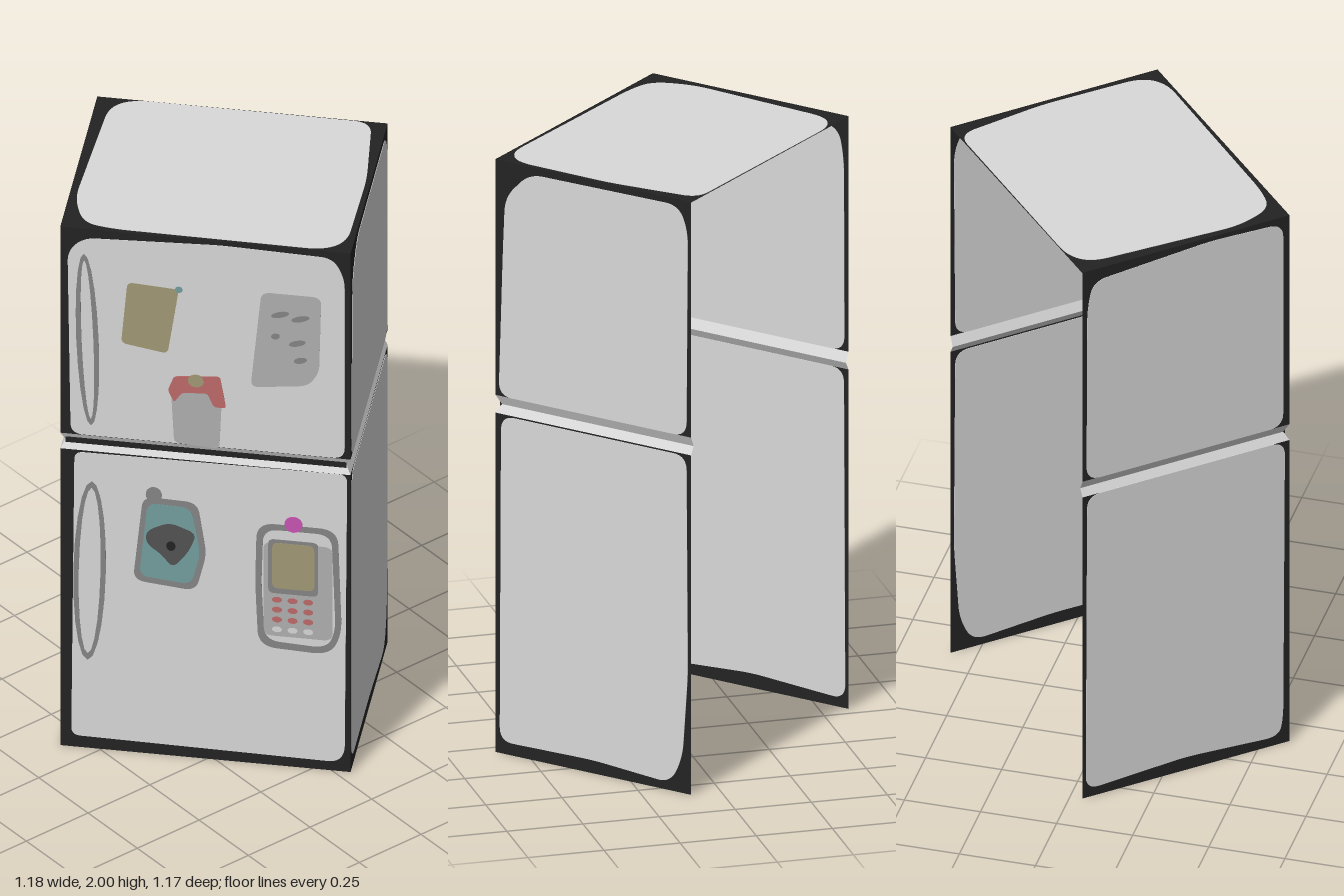
import * as THREE from 'three';

const HW = 0.4655, HD = 0.3665; // half width and half depth of the cabinet

function material(name, color) {
  const m = new THREE.MeshStandardMaterial({ color, side: THREE.DoubleSide });
  m.name = name;
  return m;
}

// polygon with its corners rounded by up to radius r
function rounded(points, r) {
  const p = points.map(([x, y]) => new THREE.Vector2(x, y));
  const n = p.length, shape = new THREE.Shape();
  const toward = (a, b) => a.clone().lerp(b, Math.min(0.5, r / a.distanceTo(b)));
  p.forEach((c, i) => {
    const a = toward(c, p[(i + n - 1) % n]), b = toward(c, p[(i + 1) % n]);
    if (i === 0) shape.moveTo(a.x, a.y); else shape.lineTo(a.x, a.y);
    shape.quadraticCurveTo(c.x, c.y, b.x, b.y);
  });
  shape.closePath();
  return shape;
}

const rect = (x0, y0, x1, y1) => [[x0, y0], [x1, y0], [x1, y1], [x0, y1]];

function oval(rx, ry) {
  const s = new THREE.Shape();
  s.absellipse(0, 0, rx, ry, 0, Math.PI * 2);
  return s;
}

// thin plate straddling its wall, so it shows from inside and outside
function plate(name, mat, shape, layer) {
  const t = 0.003 + layer * 0.0015;
  const g = new THREE.ExtrudeGeometry(shape, { depth: t, bevelEnabled: false, curveSegments: 10 });
  g.translate(0, 0, -t / 2);
  const mesh = new THREE.Mesh(g, mat);
  mesh.name = name;
  return mesh;
}

// left, front and right wall between two heights with their insets
function wallStrip(name, mat, y0, o0, y1, o1) {
  const ring = (y, o) => [[-HW + o, y, -HD], [-HW + o, y, HD - o], [HW - o, y, HD - o], [HW - o, y, -HD]];
  const lo = ring(y0, o0), hi = ring(y1, o1), pos = [];
  for (let i = 0; i < 3; i++) {
    pos.push(...lo[i], ...lo[i + 1], ...hi[i + 1], ...lo[i], ...hi[i + 1], ...hi[i]);
  }
  const g = new THREE.BufferGeometry();
  g.setAttribute('position', new THREE.Float32BufferAttribute(pos, 3));
  g.computeVertexNormals();
  const mesh = new THREE.Mesh(g, mat);
  mesh.name = name;
  return mesh;
}

export function createModel() {
  const casing = material('casing grey', 0xd9d9d9);
  const edge = material('edge black', 0x232323);
  const line = material('outline grey', 0x868686);
  const paper = material('paper grey', 0xb0b0b0);
  const olive = material('olive', 0xa39a76);
  const teal = material('teal', 0x74a0a0);
  const red = material('red', 0xc06a6a);
  const magenta = material('magenta', 0xc955b4);
  const charcoal = material('charcoal', 0x545454);

  const root = new THREE.Group();
  root.name = 'refrigerator';

  // open shell with a V groove between the two compartments
  root.add(
    wallStrip('lowerWalls', edge, 0, 0, 1.145, 0),
    wallStrip('grooveLower', casing, 1.145, 0, 1.172, 0.015),
    wallStrip('grooveUpper', casing, 1.172, 0.015, 1.205, 0),
    wallStrip('upperWalls', edge, 1.205, 0, 2, 0));

  const roof = new THREE.Group();
  roof.name = 'roof';
  roof.rotation.x = -Math.PI / 2;
  roof.position.y = 1.998;
  roof.add(new THREE.Mesh(new THREE.PlaneGeometry(2 * HW, 2 * HD), edge));
  roof.add(plate('roofPanel', casing, rounded([[-0.4, -0.33], [-0.3, -0.35], [0.38, -0.357],
    [0.445, -0.3], [0.45, 0.05], [0.415, 0.362], [-0.355, 0.364], [-0.42, 0.31], [-0.445, -0.2]], 0.06), 0));
  root.add(roof);

  // side panels; shape x runs towards the front
  const side = (name, x, upper, lower) => {
    const g = new THREE.Group();
    g.name = name;
    g.position.x = x;
    g.rotation.y = -Math.PI / 2;
    g.add(plate(name + 'Upper', casing, rounded(upper, 0.05), 0), plate(name + 'Lower', casing, rounded(lower, 0.05), 0));
    root.add(g);
  };
  side('leftSide', -HW,
    [[-0.352, 1.205], [0.344, 1.205], [0.344, 1.975], [0.09, 1.985], [-0.33, 1.955], [-0.35, 1.85]],
    [[-0.355, 0.03], [0, 0.05], [0.33, 0.03], [0.344, 0.1], [0.35, 1.145], [-0.35, 1.145]]);
  side('rightSide', HW,
    [[0.354, 1.205], [-0.35, 1.205], [-0.355, 1.9], [-0.32, 1.98], [0.24, 1.975], [0.33, 1.88], [0.338, 1.7]],
    [[0.35, 0.04], [0, 0.045], [-0.29, 0.025], [-0.335, 0.12], [-0.355, 0.4], [-0.35, 1.14], [0.345, 1.14]]);

  // front doors and everything stuck on them
  const front = new THREE.Group();
  front.name = 'front';
  front.position.z = HD;
  root.add(front);
  const add = (name, mat, shape, layer, x = 0, y = 0, tilt = 0) => {
    const m = plate(name, mat, shape, layer);
    m.position.set(x, y, 0);
    m.rotation.z = tilt;
    front.add(m);
  };
  add('upperDoor', casing, rounded([[-0.432, 1.207], [0.447, 1.207], [0.447, 1.9], [0.41, 1.975],
    [0.05, 1.985], [-0.39, 1.965], [-0.442, 1.91]], 0.04), 0);
  add('lowerDoor', casing, rounded([[-0.43, 0.045], [0.42, 0.035], [0.447, 0.07], [0.455, 1.145], [-0.42, 1.138]], 0.03), 0);

  // dark seal in the groove between the doors
  const seal = new THREE.Mesh(new THREE.BoxGeometry(2 * HW - 0.03, 0.022, 0.008), edge);
  seal.name = 'doorSeal';
  seal.position.set(0, 1.177, -0.012);
  front.add(seal);

  // outlined handles
  const handle = (name, x, y, rx, ry, tilt) => {
    const s = oval(rx, ry);
    s.holes.push(oval(rx - 0.017, ry - 0.025));
    add(name, line, s, 1, x, y, tilt);
  };
  handle('upperHandle', -0.378, 1.575, 0.036, 0.33, 0.035);
  handle('lowerHandle', -0.371, 0.685, 0.052, 0.345, -0.02);

  // notes on the upper door
  add('oliveNote', olive, rounded([[-0.27, 1.575], [-0.121, 1.55], [-0.085, 1.8], [-0.25, 1.81]], 0.02), 1);
  add('notePin', teal, oval(0.012, 0.012), 2, -0.085, 1.8);
  add('greyNote', paper, rounded([[0.145, 1.45], [0.33, 1.475], [0.365, 1.53], [0.372, 1.82], [0.18, 1.82]], 0.03), 1);
  [[0.24, 1.74, 0.03], [0.305, 1.73, 0.03], [0.295, 1.635, 0.028], [0.305, 1.57, 0.022], [0.225, 1.655, 0.014]]
    .forEach(([x, y, r]) => add('scribble', line, oval(r, 0.011), 2, x, y, 0.3));

  // small bag with a red top
  add('bag', paper, rounded([[-0.1, 1.21], [0.045, 1.2], [0.054, 1.42], [-0.11, 1.41]], 0.02), 1);
  add('bagTop', red, rounded([[-0.12, 1.41], [-0.1, 1.465], [0.047, 1.48], [0.067, 1.36], [0.027, 1.36],
    [0.007, 1.41], [-0.074, 1.405], [-0.1, 1.365]], 0.012), 2);
  add('bagKnot', olive, oval(0.026, 0.024), 3, -0.03, 1.455);

  // teal badge on the lower door
  add('badgeCap', line, oval(0.026, 0.03), 1, -0.165, 1.0);
  add('badgeRim', line, rounded([[-0.232, 0.665], [-0.03, 0.645], [0.004, 0.79], [-0.025, 0.985], [-0.2, 0.99]], 0.04), 1);
  add('badge', teal, rounded([[-0.212, 0.685], [-0.045, 0.668], [-0.016, 0.79], [-0.045, 0.962], [-0.185, 0.968]], 0.035), 2);
  add('badgeFigure', charcoal, rounded([[-0.19, 0.86], [-0.115, 0.9], [-0.027, 0.865], [-0.055, 0.79],
    [-0.105, 0.725], [-0.14, 0.775], [-0.19, 0.81]], 0.03), 3);
  add('badgeDot', edge, oval(0.015, 0.018), 4, -0.11, 0.81);

  // handset on the lower door
  const rim = rounded([[0.17, 0.455], [0.4, 0.445], [0.438, 0.53], [0.425, 0.93], [0.165, 0.93], [0.16, 0.7]], 0.06);
  rim.holes.push(rounded([[0.19, 0.48], [0.39, 0.47], [0.418, 0.54], [0.405, 0.908], [0.186, 0.908], [0.18, 0.7]], 0.05));
  add('handsetRim', line, rim, 1);
  add('handsetBody', paper, rounded(rect(0.186, 0.5, 0.408, 0.86), 0.03), 1);
  add('screenRim', line, rounded(rect(0.202, 0.665, 0.362, 0.872), 0.02), 2);
  add('screen', olive, rounded(rect(0.215, 0.685, 0.35, 0.86), 0.02), 3);
  add('handsetKnob', magenta, oval(0.029, 0.03), 3, 0.283, 0.935);
  for (let row = 0; row < 4; row++) {
    for (let col = 0; col < 3; col++) {
      add('button', row < 3 ? red : casing, oval(0.016, 0.011), 2, 0.23 + col * 0.05, 0.64 - row * 0.038);
    }
  }

  // the cabinet stands turned on its base
  root.rotation.y = 0.736;
  const model = new THREE.Group();
  model.add(root);
  return model;
}
